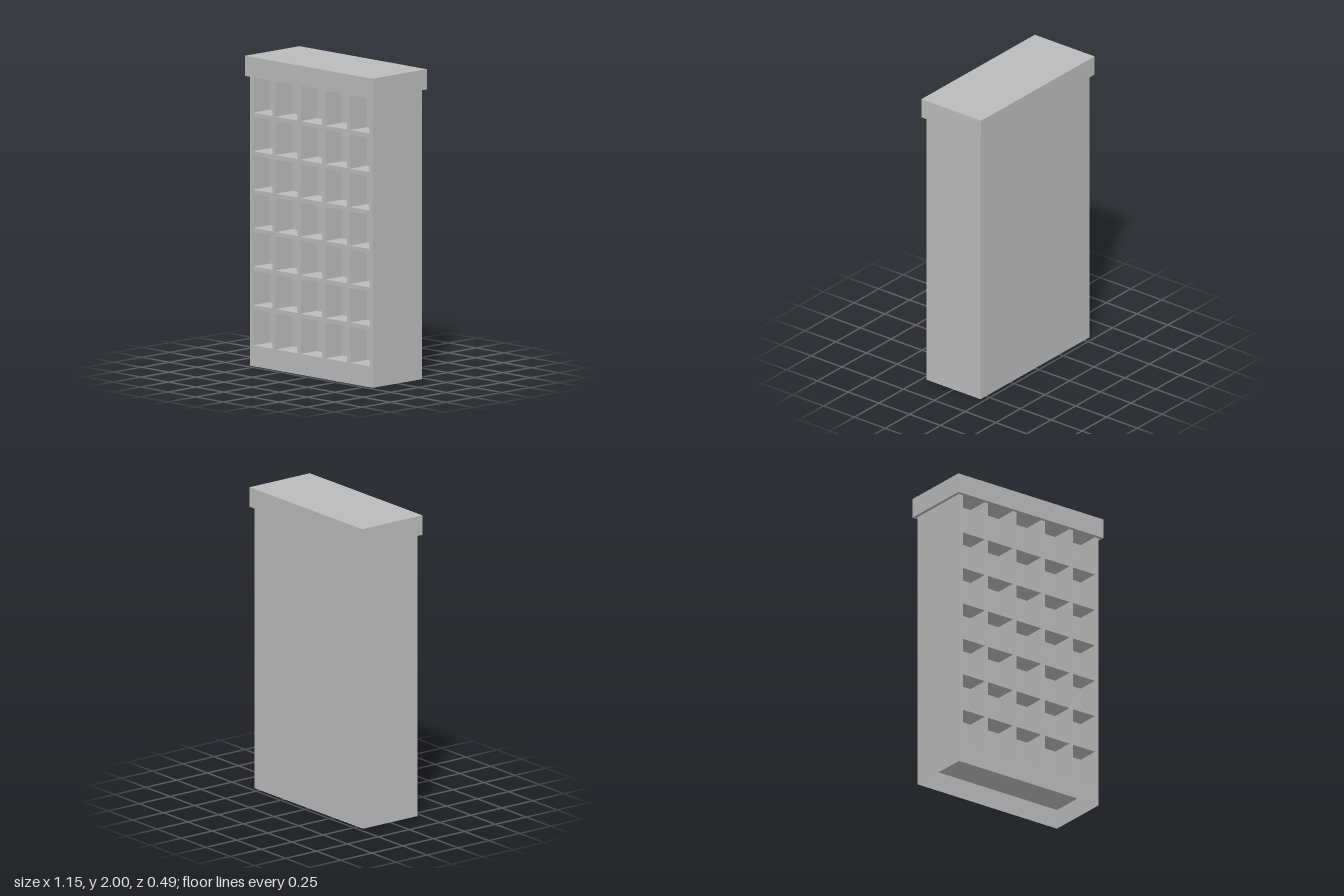
import * as THREE from 'three';

const W = 1.11, D = 0.44, BODY_TOP = 1.87, CELL_DEPTH = 0.15;

// Pigeonhole openings as [min, max] spans
const columns = [[-0.525, -0.35], [-0.323, -0.127], [-0.098, 0.098], [0.127, 0.323], [0.35, 0.525]];
const shelfTops = [0.135, 0.395, 0.644, 0.892, 1.14, 1.388, 1.637];
const rows = shelfTops.map((y, i) => [y, i < 6 ? shelfTops[i + 1] - 0.028 : BODY_TOP]);

// Thin-walled box without the listed faces (0 +x, 1 -x, 2 +y, 3 -y, 4 +z, 5 -z)
function openBox(w, h, d, missing) {
  const geometry = new THREE.BoxGeometry(w, h, d);
  const index = Array.from(geometry.index.array);
  geometry.setIndex(index.filter((_, i) => !missing.includes(Math.floor(i / 6))));
  geometry.clearGroups();
  return geometry;
}

export function createModel() {
  const model = new THREE.Group();
  model.name = 'pigeonholeCabinet';
  const grey = new THREE.MeshStandardMaterial({ color: 0xbbbbbb, side: THREE.DoubleSide });
  grey.name = 'plain grey';

  function add(name, geometry, x, y, z, parent = model) {
    const mesh = new THREE.Mesh(geometry, grey);
    mesh.name = name;
    mesh.position.set(x, y, z);
    parent.add(mesh);
    return mesh;
  }

  // Sides and back, open below
  add('bodyShell', openBox(W, BODY_TOP, D, [2, 3, 4]), 0, BODY_TOP / 2, 0);

  // Front lattice, its upper edge tucked into the cap
  const front = new THREE.Shape();
  const edge = BODY_TOP + 0.03;
  front.moveTo(-W / 2, 0).lineTo(W / 2, 0).lineTo(W / 2, edge).lineTo(-W / 2, edge).closePath();

  // Recessed cells behind each opening
  const cells = new THREE.Group();
  cells.name = 'cells';
  model.add(cells);
  for (const [x0, x1] of columns) {
    for (const [y0, y1] of rows) {
      const hole = new THREE.Path();
      hole.moveTo(x0, y0).lineTo(x0, y1).lineTo(x1, y1).lineTo(x1, y0).closePath();
      front.holes.push(hole);
      add('cell', openBox(x1 - x0, y1 - y0, CELL_DEPTH, [4]),
        (x0 + x1) / 2, (y0 + y1) / 2, (D - CELL_DEPTH) / 2, cells);
    }
  }
  add('frontLattice', new THREE.ShapeGeometry(front), 0, 0, D / 2);

  // Floor panel recessed above the hollow plinth
  add('floorPanel', new THREE.PlaneGeometry(W, D).rotateX(Math.PI / 2), 0, 0.131, 0);

  // Overhanging cap
  add('cap', new THREE.BoxGeometry(1.154, 2 - BODY_TOP, 0.486), 0, (2 + BODY_TOP) / 2, 0);

  return model;
}
